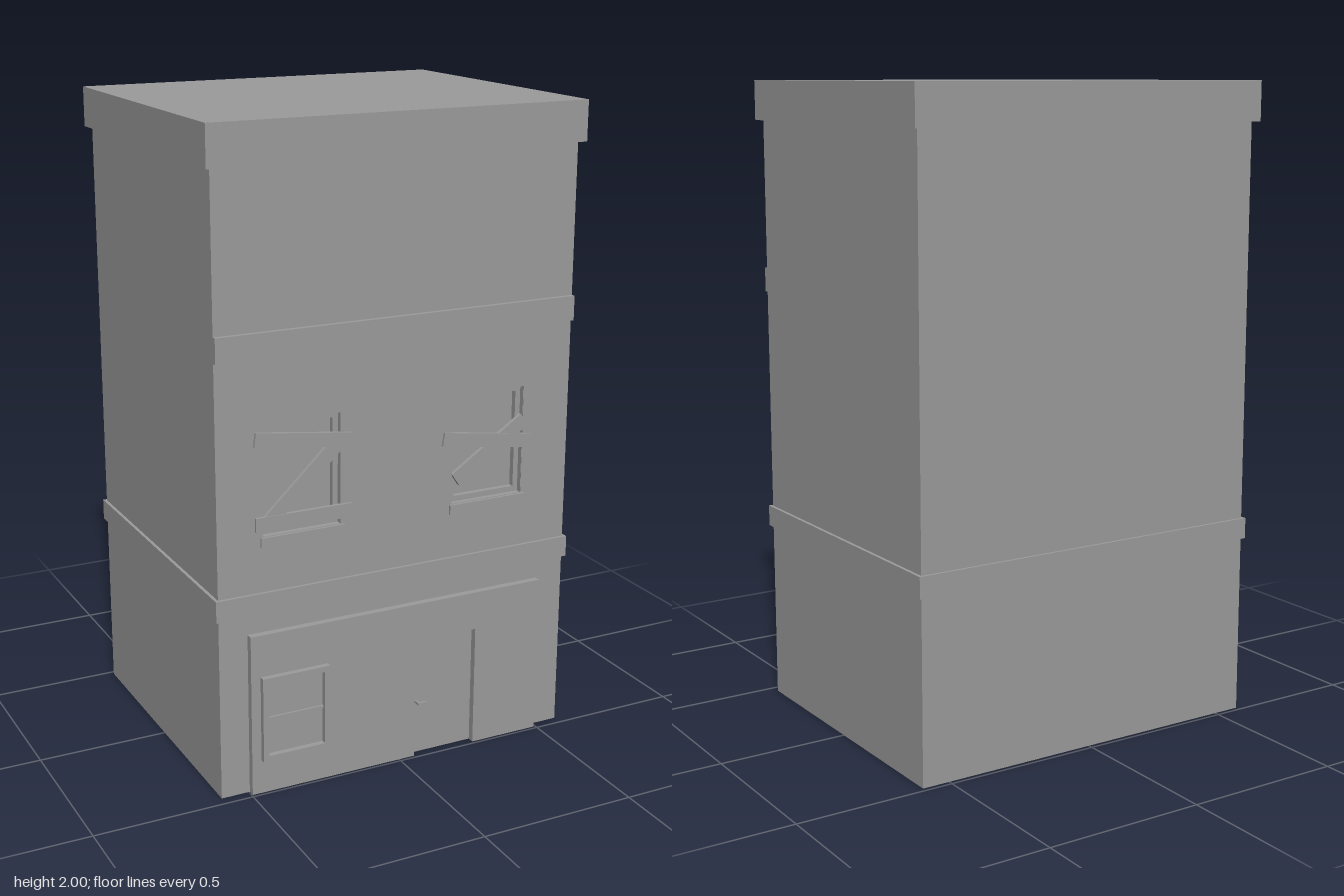
import * as THREE from 'three';

const mat = new THREE.MeshStandardMaterial({ color: 0x9b9b9b, flatShading: true, side: THREE.DoubleSide });
const WALL = { x: 0.588, f: 0.468, b: -0.485 };
const BAND = { x: 0.598, f: 0.478, b: -0.494 };
const CAP = { x: 0.606, f: 0.488, b: -0.505 };
const PANEL_Z = 0.49;

function add(parent, name, geometry, x = 0, y = 0, z = 0) {
  const mesh = new THREE.Mesh(geometry, mat);
  mesh.name = name;
  mesh.position.set(x, y, z);
  parent.add(mesh);
  return mesh;
}

// Box given by its extents
function box(parent, name, x0, x1, y0, y1, z0, z1) {
  return add(parent, name, new THREE.BoxGeometry(x1 - x0, y1 - y0, z1 - z0),
    (x0 + x1) / 2, (y0 + y1) / 2, (z0 + z1) / 2);
}

const outline = points => new THREE.Shape(points.map(p => new THREE.Vector2(...p)));
const rect = (x0, x1, y0, y1) => outline([[x0, y0], [x1, y0], [x1, y1], [x0, y1]]);

// Rectangular frame with an open middle
function frame(parent, name, x0, x1, y0, y1, t, z0, z1) {
  const s = rect(x0, x1, y0, y1);
  s.holes.push(rect(x0 + t, x1 - t, y0 + t, y1 - t));
  return add(parent, name, new THREE.ExtrudeGeometry(s, { depth: z1 - z0, bevelEnabled: false }), 0, 0, z0);
}

// Flat-shaded surface from four-cornered faces
function quadGeometry(quads) {
  const pos = quads.flatMap(([a, b, c, d]) => [...a, ...b, ...c, ...a, ...c, ...d]);
  const g = new THREE.BufferGeometry();
  g.setAttribute('position', new THREE.Float32BufferAttribute(pos, 3));
  g.computeVertexNormals();
  return g;
}

// Hollow shell: rectangular rings joined upwards, open underneath
function shellGeometry() {
  const rows = [[0, WALL], [0.569, WALL], [0.569, BAND], [0.635, BAND], [0.635, WALL],
    [1.877, WALL], [1.877, CAP], [2, CAP]];
  const rings = rows.map(([y, r]) => [[r.x, y, r.f], [r.x, y, r.b], [-r.x, y, r.b], [-r.x, y, r.f]]);
  const quads = [rings[rings.length - 1]];
  for (let i = 0; i < rows.length - 1; i++) {
    const lo = rings[i], hi = rings[i + 1];
    const plainWall = rows[i][1] === WALL && rows[i + 1][1] === WALL;
    for (let k = 0; k < 4; k++) {
      if (k === 3 && plainWall) continue; // front walls are made separately
      const n = (k + 1) % 4;
      quads.push([lo[k], lo[n], hi[n], hi[k]]);
    }
  }
  return quadGeometry(quads);
}

// Thin return joining the wall plane to the shop front along a path
function returnGeometry(path) {
  return quadGeometry(path.slice(1).map((b, i) => {
    const a = path[i];
    return [[...a, WALL.f], [...a, PANEL_Z], [...b, PANEL_Z], [...b, WALL.f]];
  }));
}

// Plank nailed between two points on the front wall
function board(parent, ax, ay, bx, by, w, z) {
  const len = Math.hypot(bx - ax, by - ay);
  const m = add(parent, 'board', new THREE.BoxGeometry(len, w, 0.012), (ax + bx) / 2, (ay + by) / 2, z);
  m.rotation.z = Math.atan2(by - ay, bx - ax);
}

export function createModel() {
  const g = new THREE.Group();
  g.name = 'building';
  add(g, 'shell', shellGeometry());

  // Upper front wall with two window openings
  const upper = rect(-WALL.x, WALL.x, 0.635, 1.877);
  const windows = [[-0.444, -0.194], [0.181, 0.427]];
  const wy0 = 0.805, wy1 = 1.147;
  for (const [a, b] of windows) upper.holes.push(rect(a, b, wy0, wy1));
  add(g, 'upperFrontWall', new THREE.ShapeGeometry(upper), 0, 0, WALL.f);
  box(g, 'upperFrontBand', -WALL.x, WALL.x, 1.337, 1.413, WALL.f, 0.483);

  // Recessed upper windows with planks nailed across
  windows.forEach(([a, b], i) => {
    const w = new THREE.Group();
    w.name = i ? 'leftUpperWindow' : 'rightUpperWindow';
    g.add(w);
    frame(w, 'windowFrame', a, b, wy0, wy1, 0.018, 0.43, 0.45);
    frame(w, 'windowReveal', a, b, wy0, wy1, 0.001, 0.43, WALL.f - 0.001);
    box(w, 'windowPane', a, b, wy0, wy1, 0.425, 0.432);
    box(w, 'windowSill', a - 0.008, b + 0.011, 0.773, 0.804, 0.455, 0.476);
    if (i) {
      board(w, 0.191, 0.883, 0.429, 1.042, 0.045, 0.468);
      board(w, 0.146, 1.017, 0.45, 0.973, 0.042, 0.471);
    } else {
      board(w, -0.422, 0.852, -0.202, 1.059, 0.045, 0.468);
      board(w, -0.469, 1.102, -0.16, 1.062, 0.042, 0.471);
      board(w, -0.469, 0.846, -0.16, 0.846, 0.043, 0.471);
    }
  });

  // Lower front wall, opened behind the hollow shop front
  const edge = [[-0.497, 0], [-0.497, 0.51], [0.494, 0.51], [0.494, 0]];
  const doorway = [[0.264, 0], [0.264, 0.388], [0.052, 0.388], [0.052, 0]];
  const lower = outline([[-WALL.x, 0], ...edge, [WALL.x, 0], [WALL.x, 0.569], [-WALL.x, 0.569]]);
  add(g, 'lowerFrontWall', new THREE.ShapeGeometry(lower), 0, 0, WALL.f);
  add(g, 'shopFront', new THREE.ShapeGeometry(outline([...edge, ...doorway])), 0, 0, PANEL_Z);
  add(g, 'shopFrontEdge', returnGeometry(edge));
  add(g, 'doorway', returnGeometry(doorway));
  add(g, 'door', new THREE.ShapeGeometry(outline(doorway)), 0, 0, WALL.f);
  box(g, 'doorHandlePost', 0.064, 0.07, 0.17, 0.178, WALL.f, 0.487);
  box(g, 'doorHandle', 0.064, 0.095, 0.17, 0.178, 0.487, 0.493);

  // Ground floor window
  frame(g, 'shopWindowFrame', -0.467, -0.247, 0.108, 0.378, 0.018, PANEL_Z, 0.508);
  box(g, 'shopWindowBar', -0.449, -0.265, 0.239, 0.246, PANEL_Z, 0.497);
  return g;
}
